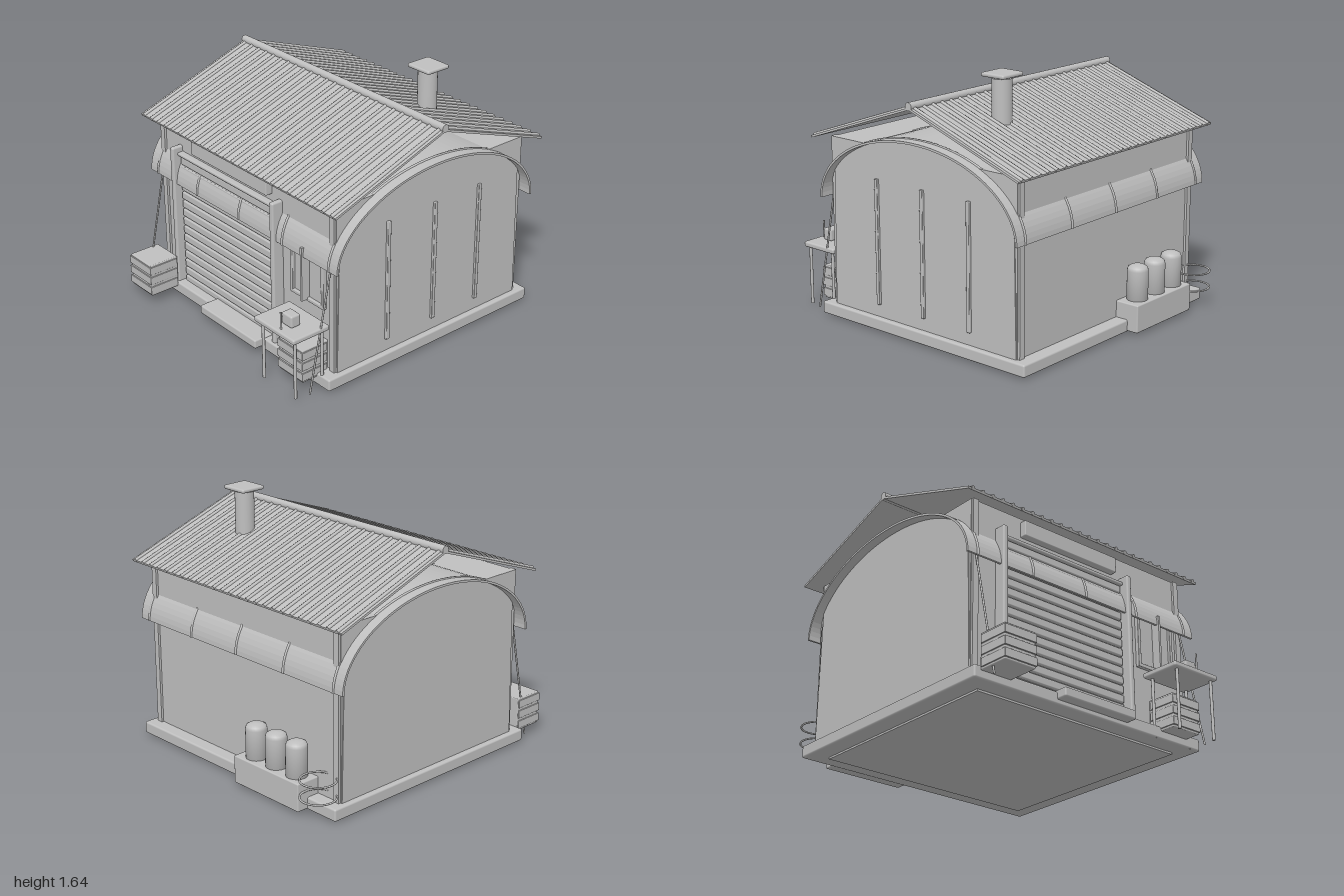
import * as THREE from 'three';
import { RoundedBoxGeometry } from 'three/addons/geometries/RoundedBoxGeometry.js';

const grey = new THREE.MeshStandardMaterial({ color: 0xbfbfbf });
grey.name = 'plain grey';

const MID = -0.047; // z of the ridge and of the vault centre
const ARCH_Y = 0.78, ARCH_A = 0.785, ARCH_B = 0.46;

export function createModel() {
  const model = new THREE.Group();
  model.name = 'workshop';

  const add = (name, geo, x = 0, y = 0, z = 0, parent = model) => {
    const m = new THREE.Mesh(geo, grey);
    m.name = name;
    m.position.set(x, y, z);
    parent.add(m);
    return m;
  };
  // box given by its limits; r rounds the edges
  const box = (name, x0, x1, y0, y1, z0, z1, r = 0, parent = model) => {
    const s = [x1 - x0, y1 - y0, z1 - z0];
    const geo = r ? new RoundedBoxGeometry(...s, 2, r) : new THREE.BoxGeometry(...s);
    return add(name, geo, (x0 + x1) / 2, (y0 + y1) / 2, (z0 + z1) / 2, parent);
  };
  const cyl = (name, r, y0, y1, x, z, sides = 24) =>
    add(name, new THREE.CylinderGeometry(r, r, y1 - y0, sides), x, (y0 + y1) / 2, z);
  // straight rod between two points
  const rod = (name, r, a, b) => {
    const from = new THREE.Vector3(...a), to = new THREE.Vector3(...b);
    return add(name, new THREE.TubeGeometry(new THREE.LineCurve3(from, to), 1, r, 8));
  };
  // outline in the z-y plane, extruded along x about the middle
  const across = (pts, width) => {
    const geo = new THREE.ExtrudeGeometry(new THREE.Shape(pts), { depth: width, bevelEnabled: false });
    return geo.rotateY(-Math.PI / 2).translate(width / 2, 0, 0);
  };
  const archPoints = (grow, limit = 2, n = 48) => {
    const pts = [];
    for (let i = 0; i <= n; i++) {
      const t = (i / n) * Math.PI;
      const z = Math.cos(t) * (ARCH_A + grow);
      if (Math.abs(z) <= limit) pts.push(new THREE.Vector2(MID + z, ARCH_Y + Math.sin(t) * (ARCH_B + grow)));
    }
    return pts;
  };

  // Base and body
  box('groundPlate', -0.76, 0.76, 0, 0.02, -0.75, 0.66);
  box('baseSlab', -0.88, 0.88, 0.012, 0.09, -0.87, 0.78, 0.012);
  box('walls', -0.84, 0.84, 0.08, 1.16, -0.785, 0.69);
  const panel = archPoints(-0.008, 0.735);
  panel.push(new THREE.Vector2(MID - 0.735, 0.08), new THREE.Vector2(MID + 0.735, 0.08));
  add('archedEndWalls', across(panel, 1.692));
  for (const x of [-0.815, 0.815])
    for (const z of [-0.78, 0.685]) box('cornerPost', x - 0.02, x + 0.02, 0.08, 1.16, z - 0.02, z + 0.02);
  for (const z of [0.305, -0.065, -0.43]) box('sideStrip', 0.83, 0.862, 0.17, 0.96, z - 0.013, z + 0.013, 0.005);

  // Vaulted canopy with hoops
  add('vaultedCanopy', across([...archPoints(0.006), ...archPoints(-0.008).reverse()], 1.81));
  for (const x of [-0.83, -0.415, 0, 0.415, 0.83]) {
    const path = new THREE.CatmullRomCurve3(archPoints(0.004).map(p => new THREE.Vector3(x, p.y, p.x)));
    add('canopyHoop', new THREE.TubeGeometry(path, 64, 0.009, 6));
  }
  for (const x of [-0.82, 0.82]) rod('guyRope', 0.006, [x, 0.86, 0.7], [x, 0.012, 0.875]);

  // Corrugated gable roof
  for (const side of [1, -1]) {
    const slope = new THREE.Group();
    slope.name = side > 0 ? 'frontRoof' : 'backRoof';
    slope.position.set(0, 1.452, MID);
    slope.rotation.set(side * 0.338, side > 0 ? 0 : Math.PI, 0);
    model.add(slope);
    box('roofSheet', -0.932, 0.932, -0.008, 0.006, 0, 0.873, 0, slope);
    for (let i = 0; i < 25; i++) {
      const rib = add('roofRib', new THREE.CylinderGeometry(0.012, 0.012, 0.875, 8), -0.9 + i * 0.075, 0.006, 0.4375, slope);
      rib.rotation.x = Math.PI / 2;
    }
  }
  const ridge = add('ridgeCap', new THREE.CylinderGeometry(0.025, 0.025, 1.864, 16), 0, 1.463, MID);
  ridge.rotation.z = Math.PI / 2;

  // Domed vent under the gable
  const dome = [[0, 1.15], [0.25, 1.15], [0.25, 1.215], [0.235, 1.235], [0.18, 1.262], [0.1, 1.28],
    [0.063, 1.283], [0.063, 1.315], [0, 1.315]].map(p => new THREE.Vector2(...p));
  add('domedVent', new THREE.LatheGeometry(dome, 32), 0, 0, MID);

  // Chimney
  cyl('chimneyStem', 0.012, 1.1, 1.28, 0.465, -0.375, 10);
  cyl('chimneyPipe', 0.06, 1.275, 1.6, 0.465, -0.348);
  cyl('chimneyNeck', 0.03, 1.59, 1.615, 0.465, -0.348);
  box('chimneyCap', 0.373, 0.557, 1.61, 1.636, -0.437, -0.263, 0.012);

  // Roller door, sign board, step
  box('doorBacking', -0.615, 0.32, 0.08, 0.96, 0.68, 0.7);
  for (let i = 0; i < 15; i++) box('doorSlat', -0.612, 0.312, 0.075 + i * 0.06, 0.125 + i * 0.06, 0.69, 0.72, 0.008);
  box('doorHead', -0.63, 0.325, 0.97, 0.992, 0.68, 0.73, 0.008);
  for (const x of [-0.642, 0.343]) box('doorJamb', x - 0.018, x + 0.018, 0.08, 1.03, 0.68, 0.765, 0.012);
  box('signBoard', -0.47, 0.265, 1.035, 1.135, 0.68, 0.735, 0.006);
  box('doorStep', -0.28, 0.275, 0.042, 0.1, 0.7, 0.85, 0.01);

  // Window
  box('windowPane', 0.46, 0.745, 0.49, 0.86, 0.68, 0.697);
  for (const x of [0.465, 0.74]) box('windowSideFrame', x - 0.012, x + 0.012, 0.48, 0.86, 0.68, 0.715, 0.005);
  for (const y of [0.49, 0.85]) box('windowCrossFrame', 0.453, 0.752, y - 0.012, y + 0.012, 0.68, 0.715, 0.005);
  box('windowMullion', 0.594, 0.61, 0.49, 0.84, 0.69, 0.755);

  // Slatted crates
  const crate = (x0, x1, z0, z1) => {
    box('crate', x0 + 0.006, x1 - 0.006, 0.062, 0.28, z0, z1 - 0.008, 0.006);
    for (let i = 0; i < 3; i++)
      box('crateSlat', x0, x1, 0.075 + i * 0.07, 0.128 + i * 0.07, z0 + 0.01, z1, 0.004);
  };
  crate(-0.842, -0.612, 0.775, 0.988);
  crate(0.543, 0.772, 0.69, 0.89);

  // Table with a cup and a small rod
  box('tableTop', 0.463, 0.828, 0.39, 0.425, 0.73, 0.998, 0.012);
  for (const x of [0.51, 0.8]) for (const z of [0.765, 0.965]) cyl('tableLeg', 0.01, 0.012, 0.395, x, z, 10);
  box('tableCup', 0.633, 0.723, 0.425, 0.503, 0.858, 0.927, 0.012);
  cyl('tableRod', 0.006, 0.42, 0.535, 0.68, 0.968, 8);

  // Rear shelf with three tanks and hose rings
  box('rearShelf', -0.65, -0.09, 0.018, 0.195, -0.945, -0.76, 0.008);
  const tank = [[0, 0.19], [0.066, 0.19], [0.066, 0.38], [0.06, 0.4], [0.04, 0.412], [0, 0.416]].map(p => new THREE.Vector2(...p));
  for (const x of [-0.55, -0.375, -0.2]) add('tank', new THREE.LatheGeometry(tank, 24), x, 0, -0.86);
  for (const y of [0.135, 0.243]) {
    const ring = add('hoseRing', new THREE.TorusGeometry(0.108, 0.006, 8, 36), -0.757, y, -0.885);
    ring.rotation.x = Math.PI / 2;
  }
  return model;
}
